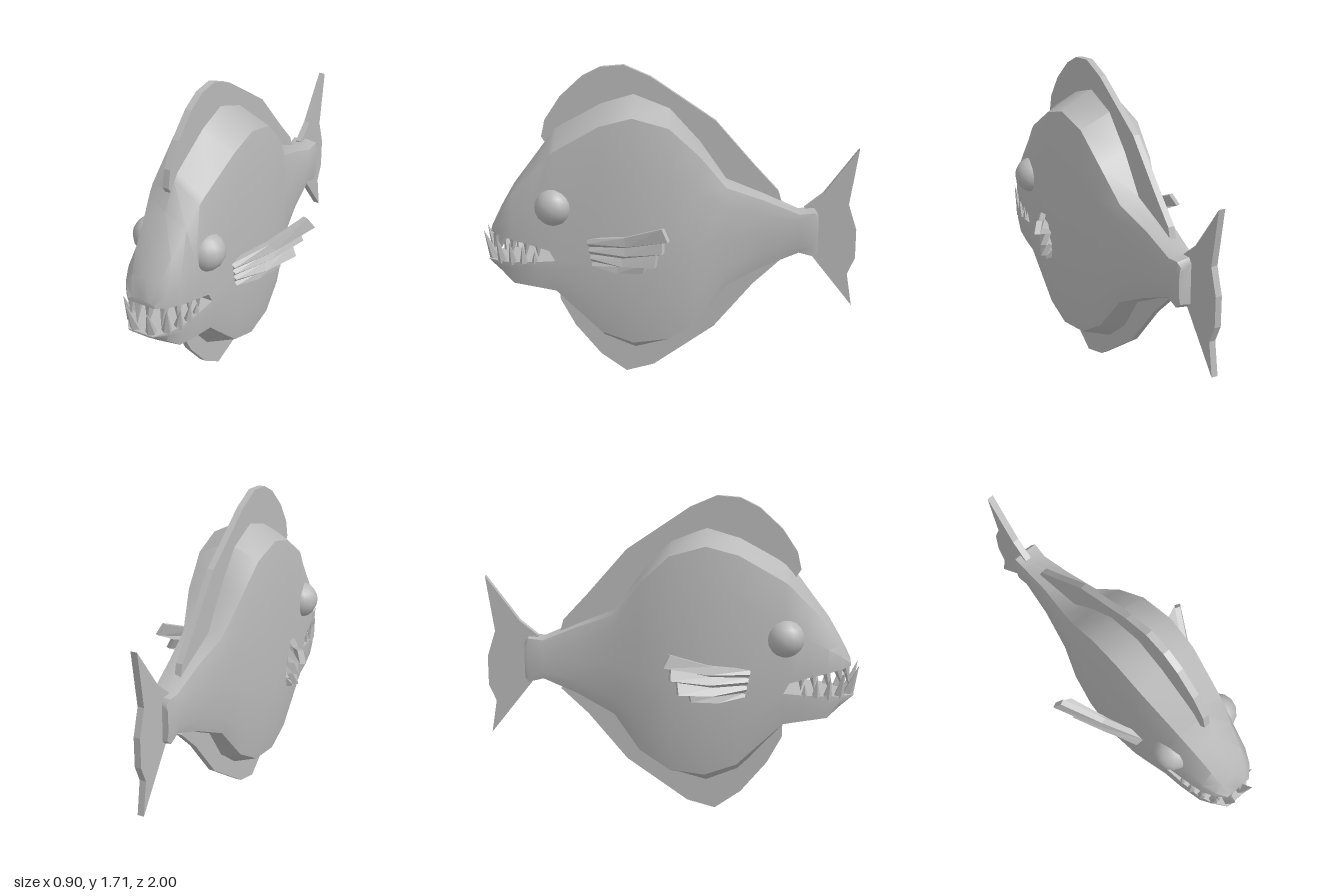
import * as THREE from 'three';
import { mergeGeometries, toCreasedNormals } from 'three/addons/utils/BufferGeometryUtils.js';

const grey = new THREE.MeshStandardMaterial({ color: 0xb8b8b8 });
grey.name = 'grey';

// Skin between closed rings of [x, y, z] points, running front to back
// (each ring clockwise as seen from +z), with optional end caps
function loft(rings, capFront, capBack) {
  const pos = [], n = rings[0].length;
  const tri = (a, b, c) => pos.push(...a, ...b, ...c);
  for (let r = 0; r < rings.length - 1; r++) {
    for (let i = 0; i < n; i++) {
      const j = (i + 1) % n, f = rings[r], k = rings[r + 1];
      tri(f[i], f[j], k[i]);
      tri(f[j], k[j], k[i]);
    }
  }
  const last = rings[rings.length - 1];
  for (let i = 1; i < n - 1; i++) {
    if (capFront) tri(rings[0][0], rings[0][i + 1], rings[0][i]);
    if (capBack) tri(last[0], last[i], last[i + 1]);
  }
  const g = new THREE.BufferGeometry();
  g.setAttribute('position', new THREE.Float32BufferAttribute(pos, 3));
  return g;
}

// Full ring from a half outline that starts and ends on the centre line
function ring(z, half) {
  const left = half.map(([x, y]) => [x, y, z]);
  const right = half.slice(1, -1).reverse().map(([x, y]) => [-x, y, z]);
  return [...left, ...right];
}

function bodyGeometry() {
  // z, ridge y, shoulder x y, side x, upper y, middle y, lower y, belly x y, keel y
  const trunk = [
    [0.60, 1.38, 0.145, 1.28, 0.185, 1.05, 0.70, 0.64, 0.17, 0.53, 0.50],
    [0.36, 1.51, 0.175, 1.42, 0.205, 1.20, 0.70, 0.48, 0.175, 0.30, 0.215],
    [0.19, 1.56, 0.18, 1.465, 0.215, 1.19, 0.70, 0.45, 0.18, 0.24, 0.145],
    [0.00, 1.485, 0.17, 1.41, 0.205, 1.17, 0.75, 0.47, 0.17, 0.26, 0.195],
    [-0.16, 1.31, 0.15, 1.26, 0.175, 1.08, 0.78, 0.52, 0.15, 0.36, 0.32],
    [-0.30, 1.11, 0.11, 1.085, 0.13, 1.00, 0.82, 0.63, 0.11, 0.545, 0.52],
    [-0.50, 1.03, 0.08, 1.01, 0.095, 0.93, 0.825, 0.72, 0.08, 0.645, 0.625],
    [-0.69, 0.945, 0.065, 0.93, 0.075, 0.89, 0.825, 0.76, 0.065, 0.72, 0.705],
    [-0.77, 0.95, 0.07, 0.94, 0.075, 0.89, 0.825, 0.76, 0.07, 0.70, 0.69],
    [-0.79, 0.925, 0.06, 0.915, 0.068, 0.88, 0.825, 0.77, 0.06, 0.72, 0.71],
  ].map(([z, t, sx, sy, w, u, m, l, bx, by, b]) =>
    ring(z, [[0, t], [sx, sy], [w, u], [w, m], [w, l], [bx, by], [0, b]]));

  // z, ridge y, shoulder x y, side x, upper y, mouth roof y
  const head = [
    [0.95, 0.86, 0.05, 0.855, 0.075, 0.845, 0.83],
    [0.90, 0.96, 0.08, 0.945, 0.12, 0.89, 0.82],
    [0.83, 1.08, 0.10, 1.05, 0.15, 0.93, 0.805],
    [0.72, 1.225, 0.12, 1.16, 0.17, 0.99, 0.78],
    [0.63, 1.345, 0.14, 1.255, 0.182, 1.04, 0.755],
    [0.60, 1.38, 0.145, 1.28, 0.185, 1.05, 0.70],
  ].map(([z, t, sx, sy, w, u, m]) => ring(z, [[0, t], [sx, sy], [w, u], [w, m], [0, m]]));

  // z, jaw top y, side x, lower y, chin x y, chin bottom y
  const jaw = [
    [0.97, 0.675, 0.07, 0.672, 0.06, 0.668, 0.665],
    [0.90, 0.677, 0.12, 0.66, 0.10, 0.62, 0.60],
    [0.83, 0.68, 0.15, 0.64, 0.135, 0.56, 0.54],
    [0.70, 0.69, 0.172, 0.64, 0.16, 0.545, 0.525],
    [0.60, 0.70, 0.185, 0.64, 0.17, 0.53, 0.50],
  ].map(([z, t, w, l, cx, cy, b]) => ring(z, [[0, t], [w, t], [w, l], [cx, cy], [0, b]]));

  const merged = mergeGeometries([loft(trunk, false, true), loft(head, true), loft(jaw, true)]);
  return toCreasedNormals(merged, 0.7);
}

// Flat fin from a [z, y] outline
function flatFin(outline) {
  const shape = new THREE.Shape(outline.map(([z, y]) => new THREE.Vector2(z, y)));
  const g = new THREE.ExtrudeGeometry(shape, { depth: 0.035, bevelEnabled: false });
  return g.rotateY(-Math.PI / 2);
}

// Pleated side fin: zigzag front layer and a parallel back layer
function sideFin(side) {
  const tips = [
    [0.42, 0.95, 0.03], [0.45, 0.89, 0], [0.37, 0.87, 0.03], [0.40, 0.81, 0.03],
    [0.35, 0.79, 0.06], [0.38, 0.73, 0.07], [0.32, 0.73, 0.12], [0.32, 0.68, 0.13],
  ];
  const rings = [0, 0.5, 1].map((t) => {
    const outer = tips.map(([x, y, z], i) => {
      const rx = i % 2 ? 0.215 : 0.195, ry = 0.825 - i * 0.02, rz = 0.43 - i * 0.004;
      const sag = 0.02 * Math.sin(Math.PI * t);
      return [rx + (x - rx) * t, ry + (y - ry) * t - sag, rz + (z - rz) * t];
    });
    const inner = outer.map(([x, y, z]) => [x - 0.028, y, z - 0.012]).reverse();
    const loop = [...outer, ...inner];
    return side > 0 ? loop : loop.map(([x, y, z]) => [-x, y, z]).reverse();
  });
  // End caps are strips joining the two layers
  const g = loft(rings), n = tips.length, pos = [...g.attributes.position.array];
  for (const [r, flip] of [[rings[0], false], [rings[2], true]]) {
    for (let i = 0; i < n - 1; i++) {
      const a = r[i], b = r[i + 1], c = r[2 * n - 2 - i], d = r[2 * n - 1 - i];
      const quad = flip ? [a, b, c, a, c, d] : [a, c, b, a, d, c];
      pos.push(...quad.flat());
    }
  }
  g.setAttribute('position', new THREE.Float32BufferAttribute(pos, 3));
  g.computeVertexNormals();
  return g;
}

// Pointed tooth from a base point to a tip
function tooth(base, tip, radius) {
  const a = new THREE.Vector3(...base), dir = new THREE.Vector3(...tip).sub(a);
  const g = new THREE.ConeGeometry(radius, dir.length(), 5).toNonIndexed();
  g.computeVertexNormals();
  g.translate(0, dir.length() / 2, 0);
  g.applyQuaternion(new THREE.Quaternion().setFromUnitVectors(
    new THREE.Vector3(0, 1, 0), dir.normalize()));
  return g.translate(a.x, a.y, a.z);
}

export function createModel() {
  const fish = new THREE.Group();
  fish.name = 'fish';
  const add = (name, geometry) => {
    const mesh = new THREE.Mesh(geometry, grey);
    mesh.name = name;
    fish.add(mesh);
    return mesh;
  };

  add('body', bodyGeometry());

  add('dorsalFin', flatFin([
    [0.64, 1.27], [0.68, 1.33], [0.66, 1.42], [0.58, 1.54], [0.46, 1.65], [0.36, 1.70],
    [0.24, 1.71], [0.10, 1.65], [-0.24, 1.42], [-0.45, 1.18], [-0.58, 1.04], [-0.60, 0.97],
    [-0.50, 0.95], [-0.30, 1.00], [0, 1.35], [0.19, 1.45], [0.40, 1.38],
  ]));
  add('bellyFin', flatFin([
    [0.60, 0.51], [0.60, 0.42], [0.52, 0.27], [0.38, 0.10], [0.24, 0.0], [0.09, 0.04],
    [-0.24, 0.27], [-0.45, 0.52], [-0.60, 0.66], [-0.50, 0.70], [-0.30, 0.62],
    [0, 0.30], [0.19, 0.24], [0.36, 0.32],
  ]));
  add('tailFin', flatFin([
    [-0.72, 0.95], [-0.82, 1.03], [-1, 1.27], [-0.955, 0.97], [-1, 0.83],
    [-1, 0.67], [-0.96, 0.58], [-0.99, 0.40], [-0.76, 0.69],
  ]));

  // Teeth down each side of the mouth: base, tip, radius
  const upper = [
    [[0.035, 0.84, 0.92], [0.03, 0.70, 0.95], 0.028], [[0.09, 0.83, 0.88], [0.09, 0.70, 0.92], 0.028],
    [[0.125, 0.82, 0.82], [0.135, 0.70, 0.84], 0.025], [[0.145, 0.80, 0.75], [0.15, 0.71, 0.76], 0.022],
    [[0.155, 0.78, 0.69], [0.16, 0.71, 0.69], 0.02],
  ];
  const lower = [
    [[0.045, 0.67, 0.94], [0.06, 0.83, 0.995], 0.03], [[0.10, 0.67, 0.89], [0.125, 0.82, 0.92], 0.028],
    [[0.13, 0.67, 0.83], [0.155, 0.79, 0.845], 0.026], [[0.15, 0.68, 0.77], [0.165, 0.78, 0.775], 0.024],
    [[0.155, 0.68, 0.71], [0.165, 0.75, 0.71], 0.02],
  ];

  for (const side of [1, -1]) {
    const label = side > 0 ? 'left' : 'right';
    const flip = ([x, y, z]) => [x * side, y, z];
    const row = (teeth) => mergeGeometries(teeth.map(([b, t, r]) => tooth(flip(b), flip(t), r)));
    add(label + 'UpperTeeth', row(upper));
    add(label + 'LowerTeeth', row(lower));
    add(label + 'SideFin', sideFin(side));
    add(label + 'Eye', new THREE.SphereGeometry(0.1, 14, 10)).position.set(side * 0.155, 0.99, 0.605);
  }
  return fish;
}
